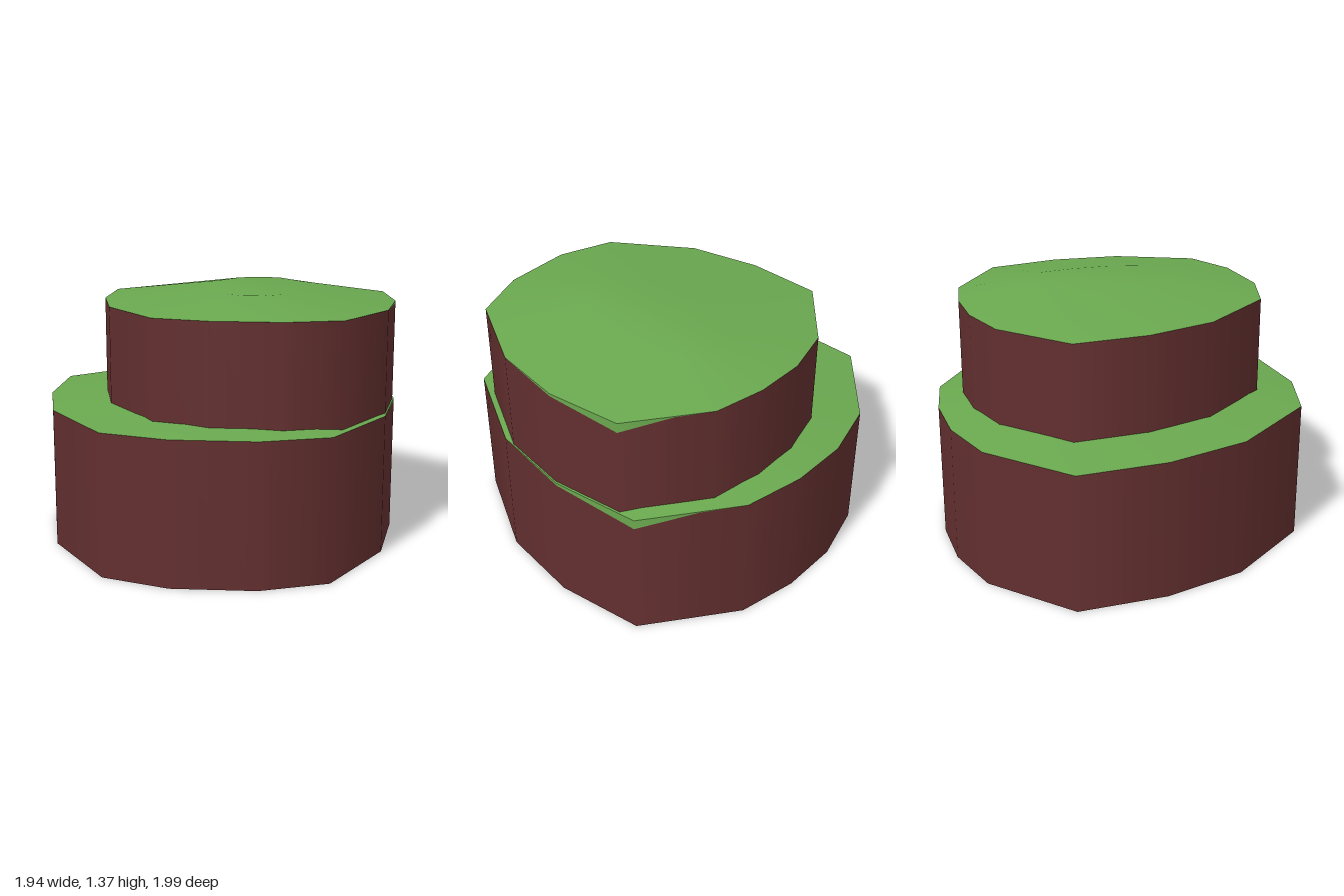
import * as THREE from 'three';

// Footprint of one tier, clockwise from above: x, z, depth of grass spilling down the wall
const OUTLINE = [
  [-0.98, -0.52, 0], [-0.57, -0.89, 0], [-0.24, -0.99, 0], [0.09, -1.0, 0],
  [0.42, -0.94, 0], [0.62, -0.80, 0.005], [0.89, -0.61, 0.055], [0.965, -0.13, 0.015],
  [0.91, 0.33, 0], [0.65, 0.83, 0], [0.30, 0.97, 0], [-0.14, 0.99, 0],
  [-0.50, 0.88, 0], [-0.85, 0.41, 0], [-0.97, -0.04, 0],
];

const rimHeight = (x, z) => 0.755 + 0.008 * z - 0.01 * Math.abs(x);

// Stitch rows of points into a closed band, with smooth normals
function loft(rows) {
  const n = rows[0].length;
  const indices = [];
  for (let r = 0; r < rows.length - 1; r++) {
    for (let i = 0; i < n; i++) {
      const a = r * n + i, b = r * n + (i + 1) % n;
      indices.push(a, a + n, b + n, a, b + n, b);
    }
  }
  const geometry = new THREE.BufferGeometry();
  geometry.setAttribute('position', new THREE.Float32BufferAttribute(rows.flat(2), 3));
  geometry.setIndex(indices);
  geometry.computeVertexNormals();
  return geometry;
}

export function createModel() {
  const earth = new THREE.MeshStandardMaterial({ color: 0x632f2f, side: THREE.DoubleSide });
  earth.name = 'red earth';
  const grass = new THREE.MeshStandardMaterial({ color: 0x6aa84f, side: THREE.DoubleSide });
  grass.name = 'grass green';

  // Rows of points from the open base up to the middle of the cap
  const base = OUTLINE.map(([x, z]) => [x, 0, z]);
  const seam = OUTLINE.map(([x, z, drop]) => [x, rimHeight(x, z) - drop, z]);
  const rim = OUTLINE.map(([x, z]) => [x, rimHeight(x, z), z]);
  const plateau = OUTLINE.map(([x, z]) => [0.05 + 0.3 * x, 0.82 + 0.005 * z, -0.08 + 0.53 * z]);
  const middle = OUTLINE.map(() => [0.05, 0.822, -0.08]);

  // Wall: earth below the seam, spilled grass above it
  const wallGeometry = loft([base, seam, rim]);
  const band = OUTLINE.length * 6;
  wallGeometry.addGroup(0, band, 0);
  wallGeometry.addGroup(band, band, 1);
  // Radially smooth normals shared by every row of the wall
  const normals = wallGeometry.attributes.normal;
  const n = OUTLINE.length;
  for (let i = 0; i < n; i++) {
    for (const row of [1, 2]) {
      normals.setXYZ(row * n + i, normals.getX(i), normals.getY(i), normals.getZ(i));
    }
  }
  const capGeometry = loft([rim, plateau, middle]);

  function makeTier(name) {
    const tier = new THREE.Group();
    tier.name = name;
    const wall = new THREE.Mesh(wallGeometry, [earth, grass]);
    wall.name = name + 'Wall';
    const cap = new THREE.Mesh(capGeometry, grass);
    cap.name = name + 'GrassCap';
    tier.add(wall, cap);
    return tier;
  }

  const model = new THREE.Group();
  model.name = 'tieredHill';
  const lower = makeTier('lowerTier');

  // The upper tier is a narrower copy sunk into the lower one
  const upper = makeTier('upperTier');
  upper.scale.set(0.83, 1, 0.83);
  upper.position.set(0.155, 0.55, -0.01);

  model.add(lower, upper);
  return model;
}
